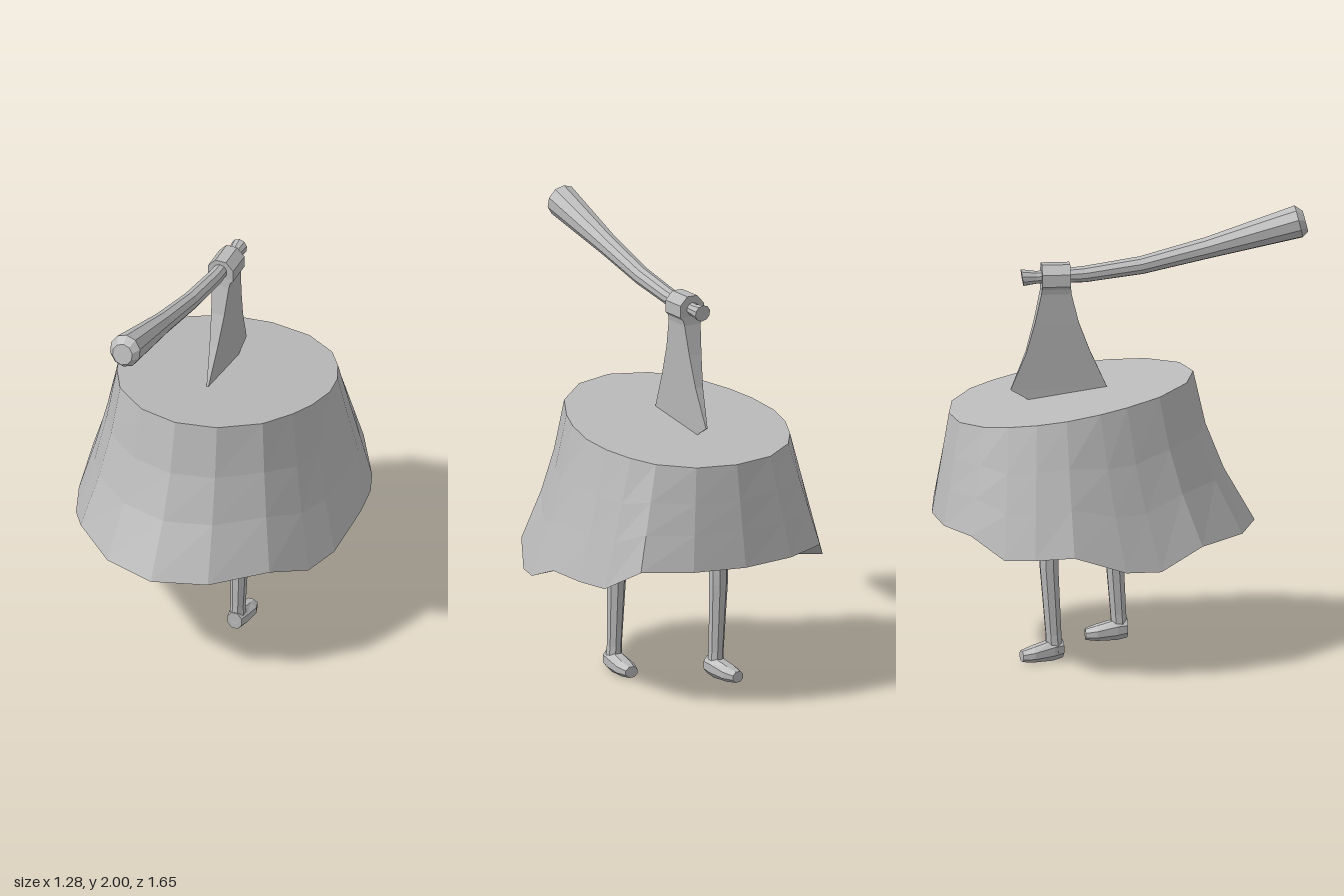
import * as THREE from 'three';

const V = (x, y, z) => new THREE.Vector3(x, y, z);

// Skin a list of equal-length closed rings; ends are fanned to a centre point.
function loft(rings, startCentre, endCentre) {
  const n = rings[0].length, tris = [];
  const mid = (r) => r.reduce((s, p) => s.add(p), V(0, 0, 0)).divideScalar(n);
  const a = startCentre || mid(rings[0]);
  const last = rings[rings.length - 1];
  const b = endCentre || mid(last);
  for (let i = 0; i < n; i++) {
    const j = (i + 1) % n;
    tris.push([a, rings[0][j], rings[0][i]], [b, last[i], last[j]]);
    for (let k = 0; k < rings.length - 1; k++) {
      const p = rings[k], q = rings[k + 1];
      tris.push([p[i], p[j], q[j]], [p[i], q[j], q[i]]);
    }
  }
  // turn everything outward
  const c = mid(rings[0]).add(mid(last)).multiplyScalar(0.5);
  let volume = 0;
  for (const [p, q, r] of tris) {
    volume += p.clone().sub(c).dot(q.clone().sub(c).cross(r.clone().sub(c)));
  }
  const pts = tris.flatMap((t) => (volume < 0 ? [t[0], t[2], t[1]] : t));
  const g = new THREE.BufferGeometry().setFromPoints(pts);
  g.computeVertexNormals(); // unshared vertices give flat facets
  return g;
}

// Polygon ring with flat sides: 'y' lies level, 'z' stands upright facing z.
function ring(axis, n, x, y, z, ra, rb) {
  const k = 1 / Math.cos(Math.PI / n);
  return Array.from({ length: n }, (_, i) => {
    const t = ((i + 0.5) / n) * Math.PI * 2;
    const u = Math.cos(t) * ra * k, v = Math.sin(t) * rb * k;
    return axis === 'y' ? V(x + u, y, z + v) : V(x + u, y + v, z);
  });
}

export function createModel() {
  const model = new THREE.Group();
  const grey = new THREE.MeshStandardMaterial({ color: 0xbbbbbb });
  const add = (parent, name, geometry) => {
    const m = new THREE.Mesh(geometry, grey);
    m.name = name;
    parent.add(m);
    return m;
  };

  // Stump: half outlines from back to front, mirrored in x
  const topHalf = [[0, -0.745], [0.19, -0.715], [0.34, -0.62], [0.41, -0.52], [0.46, -0.40], [0.48, -0.27],
    [0.46, -0.12], [0.42, 0.0], [0.34, 0.15], [0.18, 0.285], [0, 0.33]];
  const rootHalf = [[0, 0.64, -0.82], [0.25, 0.645, -0.79], [0.46, 0.65, -0.69], [0.56, 0.56, -0.55],
    [0.61, 0.57, -0.42], [0.64, 0.585, -0.25], [0.61, 0.505, -0.02], [0.555, 0.492, 0.14],
    [0.45, 0.575, 0.33], [0.24, 0.575, 0.525], [0, 0.575, 0.6]];
  const mirror = (half) => [...half, ...half.slice(1, -1).reverse().map((p) => V(-p.x, p.y, p.z))];
  const top = mirror(topHalf.map(([x, z]) => V(x, 1.255 - (0.33 - z) * 0.153, z)));
  const root = mirror(rootHalf.map((p) => V(...p)));
  const between = (t) => top.map((p, i) => {
    const q = p.clone().lerp(root[i], t);
    // the skirt flares more towards the front
    const front = THREE.MathUtils.clamp((root[i].z + 0.5) / 1.1, 0, 1);
    const s = t - 0.17 * front * Math.sin(Math.PI * t);
    q.x = THREE.MathUtils.lerp(p.x, root[i].x, s);
    q.z = THREE.MathUtils.lerp(p.z, root[i].z, s);
    return q;
  });
  add(model, 'stump', loft([top, between(0.35), between(0.65), root], null, V(0, 0.52, 0.03)));

  // Legs, with toes towards the back
  function leg(name, x, z, yaw) {
    const g = new THREE.Group();
    g.name = name;
    g.position.set(x, 0, z);
    add(g, 'shin', loft([
      ring('y', 8, 0, 0.62, -0.003, 0.04, 0.042),
      ring('y', 8, 0, 0.43, -0.005, 0.038, 0.04),
      ring('y', 8, 0, 0.12, 0.015, 0.03, 0.034),
      ring('y', 8, 0, 0.04, 0.02, 0.035, 0.036),
    ]));
    const foot = add(g, 'foot', loft([
      ring('z', 8, 0, 0.055, 0.055, 0.034, 0.04),
      ring('z', 8, 0, 0.05, 0.01, 0.043, 0.046),
      ring('z', 8, 0, 0.036, -0.08, 0.046, 0.034),
      ring('z', 8, 0, 0.03, -0.13, 0.03, 0.024),
    ]));
    foot.rotation.y = yaw;
    model.add(g);
  }
  leg('leftLeg', 0.165, 0, 0);
  leg('rightLeg', -0.165, -0.315, 0.2);

  // Axe stuck in the stump
  const axe = new THREE.Group();
  axe.name = 'axe';
  model.add(axe);

  // Handle stations: x, y, z, radius
  const stations = [[-0.04, 1.93, 0.82, 0.045], [-0.04, 1.931, 0.79, 0.069], [-0.035, 1.82, 0.39, 0.045],
    [-0.03, 1.747, 0.1, 0.038], [-0.022, 1.71, -0.15, 0.035], [-0.02, 1.7, -0.36, 0.027],
    [-0.02, 1.7, -0.425, 0.036]];
  add(axe, 'handle', loft(stations.map(([x, y, z, r], i) => {
    const slope = [0.25, 0.25, 0.24, 0.2, 0.1, 0.1, 0.15][i];
    return ring('z', 10, x, y, z, r, r).map((p) => p.setZ(p.z - (p.y - y) * slope));
  })));

  // Eye of the axe head around the handle
  add(axe, 'axeEye', loft([-0.215, -0.34].map((z) => ring('z', 8, -0.018, 1.695, z, 0.06, 0.065))));

  // Blade sections: y, front z, back z, half thickness, x
  const blade = [[1.69, -0.217, -0.338, 0.055, -0.018], [1.63, -0.21, -0.343, 0.041, -0.018],
    [1.5, -0.178, -0.37, 0.031, -0.016], [1.36, -0.125, -0.407, 0.019, -0.013],
    [1.19, -0.048, -0.475, 0.004, -0.01]];
  const sections = blade.map(([y, f, b, h, x]) =>
    [V(x + h, y, f), V(x + h, y, b), V(x - h, y, b), V(x - h, y, f)]);
  add(axe, 'blade', loft(sections, null, V(-0.01, 1.14, -0.39)));

  return model;
}
